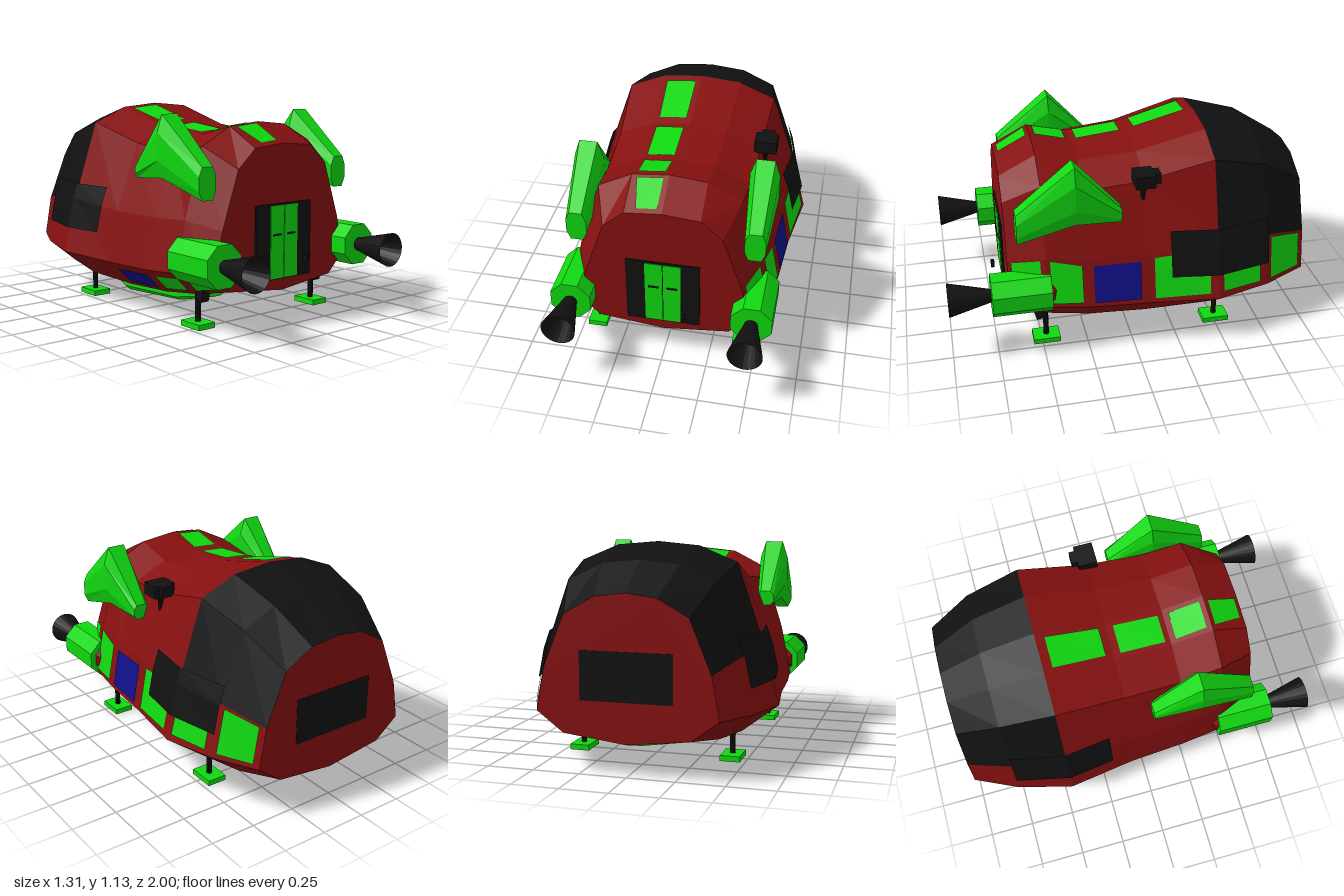
import * as THREE from 'three';

const mat = (color) => new THREE.MeshStandardMaterial({ color, flatShading: true, side: THREE.DoubleSide });

// Hull stations, front to back: z, then half outline from roof centre to keel as [x, y]
const STATIONS = [
  [0.67, [[0, 0.955], [0.2, 0.937], [0.315, 0.835], [0.42, 0.53], [0.47, 0.32], [0.36, 0.21], [0, 0.17]]],
  [0.47, [[0, 1.06], [0.2, 1.04], [0.385, 0.945], [0.5, 0.57], [0.555, 0.3], [0.43, 0.175], [0, 0.135]]],
  [0.24, [[0, 1.0], [0.2, 0.985], [0.395, 0.9], [0.525, 0.56], [0.58, 0.285], [0.45, 0.15], [0, 0.11]]],
  [-0.08, [[0, 1.035], [0.21, 1.015], [0.405, 0.93], [0.545, 0.56], [0.6, 0.28], [0.455, 0.135], [0, 0.085]]],
  [-0.46, [[0, 1.135], [0.225, 1.115], [0.43, 1.03], [0.575, 0.6], [0.655, 0.29], [0.46, 0.14], [0, 0.075]]],
  [-0.76, [[0, 1.055], [0.205, 1.035], [0.39, 0.95], [0.52, 0.585], [0.58, 0.3], [0.41, 0.165], [0, 0.1]]],
  [-1.0, [[0, 0.91], [0.16, 0.89], [0.32, 0.8], [0.43, 0.53], [0.47, 0.31], [0.33, 0.205], [0, 0.165]]],
];

// Outline at any z
function sectionAt(z) {
  let i = 0;
  while (i < STATIONS.length - 2 && z < STATIONS[i + 1][0]) i++;
  const [z0, a] = STATIONS[i], [z1, b] = STATIONS[i + 1];
  const t = (z - z0) / (z1 - z0);
  return a.map((p, k) => [p[0] + (b[k][0] - p[0]) * t, p[1] + (b[k][1] - p[1]) * t]);
}

// Interpolate along rows r0..r1 of a section: value of axis `out` where axis `by` equals v
function surf(z, v, by, r0, r1) {
  const s = sectionAt(z), out = 1 - by;
  for (let r = r0; r < r1; r++) {
    const t = (v - s[r][by]) / (s[r + 1][by] - s[r][by]);
    if ((t >= 0 && t <= 1) || r === r1 - 1) return s[r][out] + (s[r + 1][out] - s[r][out]) * t;
  }
}

function quadMesh(name, material, quads) {
  const pos = [];
  for (const [a, b, c, d] of quads) pos.push(...a, ...b, ...c, ...a, ...c, ...d);
  const g = new THREE.BufferGeometry();
  g.setAttribute('position', new THREE.Float32BufferAttribute(pos, 3));
  g.computeVertexNormals();
  const m = new THREE.Mesh(g, material);
  m.name = name;
  return m;
}

// Loft of chamfered boxes: sections [z, halfWidth, yLow, yHigh], front to back
function loft(name, material, sections) {
  const rings = sections.map(([z, w, y0, y1]) => {
    const u = w * 0.62, c = (y1 - y0) * 0.28;
    return [[w, y0 + c], [w, y1 - c], [u, y1], [-u, y1], [-w, y1 - c], [-w, y0 + c], [-u, y0], [u, y0]]
      .map(([x, y]) => [x, y, z]);
  });
  const quads = [];
  for (let i = 0; i < rings.length - 1; i++)
    for (let k = 0; k < 8; k++) {
      const n = (k + 1) % 8;
      quads.push([rings[i][k], rings[i + 1][k], rings[i + 1][n], rings[i][n]]);
    }
  const f = rings[0], b = rings[rings.length - 1];
  for (const k of [1, 3, 5]) {
    quads.push([f[0], f[k], f[k + 1], f[k + 2]]);
    quads.push([b[k + 2], b[k + 1], b[k], b[0]]);
  }
  return quadMesh(name, material, quads);
}

export function createModel() {
  const root = new THREE.Group();
  root.name = 'spaceCamper';
  const red = mat(0x861010), green = mat(0x10d810), black = mat(0x111111), blue = mat(0x10108a);

  const add = (name, geo, material, x, y, z, parent = root) => {
    const m = new THREE.Mesh(geo, material);
    m.name = name;
    m.position.set(x, y, z);
    parent.add(m);
    return m;
  };
  const box = (name, material, w, h, d, x, y, z, parent) =>
    add(name, new THREE.BoxGeometry(w, h, d), material, x, y, z, parent);

  // Hull skin, sorted by colour: red body, black rear canopy, green belly
  const skin = { body: [], canopy: [], belly: [] };
  for (let i = 0; i < STATIONS.length - 1; i++)
    for (let r = 0; r < 6; r++)
      for (const s of [1, -1]) {
        const P = (st, k) => [s * STATIONS[st][1][k][0], STATIONS[st][1][k][1], STATIONS[st][0]];
        const q = [P(i, r), P(i, r + 1), P(i + 1, r + 1), P(i + 1, r)];
        const part = r === 5 ? 'belly' : i >= 4 && r < 3 ? 'canopy' : 'body';
        skin[part].push(s > 0 ? q : q.reverse());
      }
  root.add(quadMesh('hullBody', red, skin.body), quadMesh('rearCanopy', black, skin.canopy), quadMesh('belly', green, skin.belly));

  // Flat front and back walls
  for (const [name, [z, half]] of [['frontWall', STATIONS[0]], ['backWall', STATIONS[6]]]) {
    const loop = [...half, ...half.slice(1, 6).reverse().map(([x, y]) => [-x, y])];
    const wall = add(name, new THREE.ShapeGeometry(new THREE.Shape(loop.map((p) => new THREE.Vector2(...p)))), red, 0, 0, z);
    if (z < 0) wall.rotation.y = Math.PI;
  }
  box('backWindow', black, 0.48, 0.25, 0.008, 0, 0.5, -0.998);

  // Side patch following the hull between two z and two y values
  const sidePoint = (s, z, y, off) => [s * (surf(z, y, 1, 2, 4) + off), y, z];
  const sideQuad = (s, z0, z1, lo0, hi0, lo1, hi1, off) => {
    const q = [sidePoint(s, z0, hi0, off), sidePoint(s, z0, lo0, off), sidePoint(s, z1, lo1, off), sidePoint(s, z1, hi1, off)];
    return s > 0 ? q : q.reverse();
  };
  const windows = [
    [0.65, 0.5, 0.34, 0.53, 0.33, 0.56], [0.45, 0.28, 0.32, 0.56, 0.315, 0.525],
    [0.22, -0.035, 0.31, 0.52, 0.31, 0.525], [-0.11, -0.41, 0.31, 0.54, 0.325, 0.57],
    [-0.485, -0.71, 0.33, 0.56, 0.33, 0.56], [-0.78, -0.97, 0.33, 0.57, 0.335, 0.53],
  ];
  windows.forEach((w, i) => root.add(quadMesh('sideWindow', i === 2 ? blue : green, [sideQuad(1, ...w, 0.007)])));

  // Low windows under the chine on the other side
  windows.slice(0, 3).forEach(([z0, z1], i) => {
    const P = (z, t) => {
      const s = sectionAt(z), a = s[4], b = s[5];
      return [-(a[0] + (b[0] - a[0]) * t) - 0.005, a[1] + (b[1] - a[1]) * t - 0.005, z];
    };
    root.add(quadMesh('lowWindow', i === 2 ? blue : green, [[P(z0, 0.2), P(z1, 0.2), P(z1, 0.8), P(z0, 0.8)]]));
  });

  // Black armour plates wrapping each side
  for (const s of [1, -1]) {
    const quads = [];
    for (const [z0, z1] of [[-0.2, -0.46], [-0.46, -0.76]]) {
      const m0 = sectionAt(z0)[3][1], m1 = sectionAt(z1)[3][1];
      quads.push(sideQuad(s, z0, z1, m0, 0.68, m1, 0.68, 0.016), sideQuad(s, z0, z1, 0.43, m0, 0.43, m1, 0.016));
    }
    root.add(quadMesh('sidePlate', black, quads));
  }

  // Roof windows: z0, z1, outer x at each end
  for (const [z0, z1, x0, x1] of [[0.65, 0.49, -0.14, -0.17], [0.44, 0.27, -0.175, -0.18], [0.21, -0.04, -0.18, -0.185], [-0.12, -0.41, -0.185, -0.2]]) {
    const P = (x, z) => [x, surf(z, -x, 0, 0, 2) + 0.007, z];
    root.add(quadMesh('roofWindow', green, [[P(x0, z0), P(-0.028, z0), P(-0.028, z1), P(x1, z1)]]));
  }

  // Front entrance
  box('doorFrame', black, 0.4, 0.405, 0.012, 0, 0.437, 0.673);
  for (const s of [1, -1]) {
    box('door', green, 0.095, 0.39, 0.012, s * 0.05, 0.435, 0.677);
    box('doorHandle', black, 0.055, 0.01, 0.006, s * 0.05, 0.475, 0.684);
  }
  box('doorKnob', black, 0.025, 0.04, 0.02, 0.12, 0.34, 0.73);

  for (const s of [1, -1]) {
    // Engines with open bell nozzles
    const engine = new THREE.Group();
    engine.name = 'engine';
    engine.position.set(s * 0.49, 0.375, 0);
    root.add(engine);
    const tube = (name, rFront, rBack, z0, z1, sides, material, open = false) => {
      const g = new THREE.CylinderGeometry(rFront, rBack, z0 - z1, sides, 1, open).rotateY(Math.PI / sides).rotateX(Math.PI / 2);
      return add(name, g, material, 0, 0, (z0 + z1) / 2, engine);
    };
    tube('engineBody', 0.119, 0.119, 0.77, 0.45, 8, green);
    tube('engineMount', 0.085, 0.04, 0.45, 0.4, 8, red);
    tube('nozzle', 0.092, 0.035, 1, 0.768, 24, black, true);
    tube('nozzleThroat', 0.034, 0.034, 0.778, 0.76, 24, black);

    // Upper fin pods
    const fin = loft('finPod', green, [[0.62, 0.055, 0.685, 0.855], [0.31, 0.08, 0.775, 1.108], [0.06, 0.045, 0.755, 0.835]]);
    fin.position.x = s * 0.475;
    root.add(fin);

    // Belly skids
    const skid = loft('bellySkid', green, [[0.45, 0.05, 0.135, 0.165], [0.21, 0.088, 0.078, 0.155], [-0.27, 0.09, 0.05, 0.15], [-0.46, 0.05, 0.11, 0.15]]);
    skid.position.x = s * 0.275;
    root.add(skid);

    // Landing legs
    for (const [z, top] of [[0.475, 0.2], [-0.505, 0.17]]) {
      box('footPad', green, 0.108, 0.03, 0.15, s * 0.42, 0.015, z);
      add('legPost', new THREE.CylinderGeometry(0.015, 0.015, top - 0.03, 8), black, s * 0.42, (top + 0.03) / 2, z);
    }
    box('legHinge', black, 0.05, 0.07, 0.05, s * 0.415, 0.18, 0.51).rotation.x = 0.25;
  }

  // Roof sensor
  add('sensorStem', new THREE.CylinderGeometry(0.02, 0.01, 0.11, 8), black, 0.43, 0.885, -0.07);
  box('sensorHead', black, 0.125, 0.07, 0.105, 0.435, 0.965, -0.072);
  box('sensorBack', black, 0.07, 0.06, 0.035, 0.435, 0.97, -0.14);

  return root;
}
